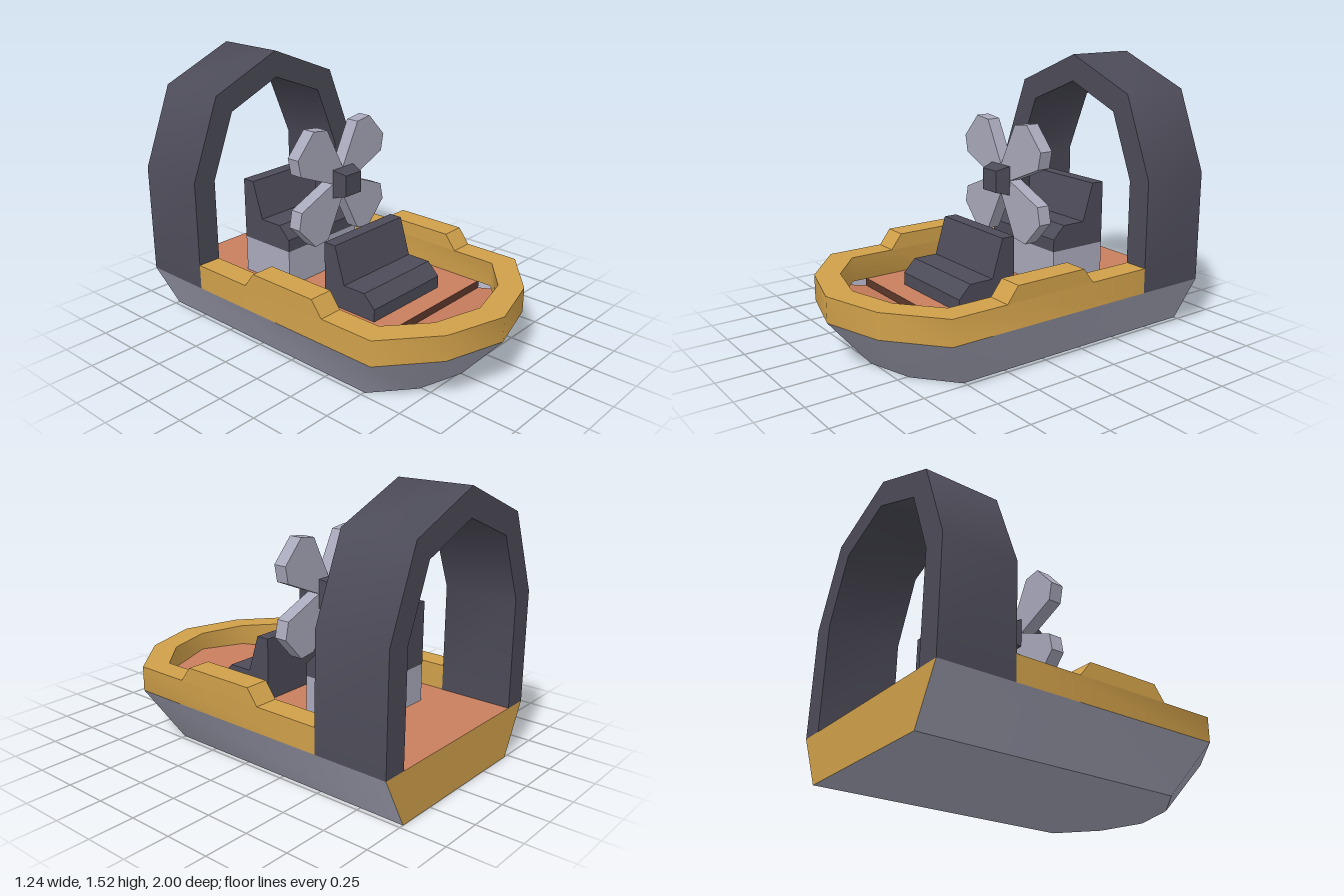
import * as THREE from 'three';
import { toCreasedNormals } from 'three/addons/utils/BufferGeometryUtils.js';

const material = (name, color, side = THREE.FrontSide) => {
  const m = new THREE.MeshStandardMaterial({ color, side });
  m.name = name;
  return m;
};

// Polygon that is symmetric about the vertical axis: give the +x half only
const mirrored = (half) => [
  ...half,
  ...half.filter(([x]) => x !== 0).reverse().map(([x, y]) => [-x, y]),
];

const extrude = (points, depth) => new THREE.ExtrudeGeometry(
  new THREE.Shape(points.map(([x, y]) => new THREE.Vector2(x, y))),
  { depth, bevelEnabled: false });

// Side profile given as [z, y], extruded along x from x0
const sideProfile = (points, x0, width) =>
  extrude(points, width).rotateY(-Math.PI / 2).translate(x0 + width, 0, 0);

const fromPositions = (pos) => {
  const g = new THREE.BufferGeometry();
  g.setAttribute('position', new THREE.Float32BufferAttribute(pos, 3));
  g.computeVertexNormals();
  return g;
};

// Fan of triangles over a convex loop of points
const fan = (pts) => {
  const pos = [];
  for (let i = 1; i < pts.length - 1; i++) pos.push(...pts[0], ...pts[i], ...pts[i + 1]);
  return fromPositions(pos);
};

export function createModel() {
  const group = new THREE.Group();
  const grey = material('light grey', 0xa9a9bc, THREE.DoubleSide);
  const dark = material('charcoal', 0x4c4b58);
  const yellow = material('ochre yellow', 0xd0a04a, THREE.DoubleSide);
  const orange = material('terracotta', 0xc97e5e, THREE.DoubleSide);
  const brown = material('dark brown', 0x5c382b, THREE.DoubleSide);

  const add = (name, geometry, mat, parent = group) => {
    const mesh = new THREE.Mesh(geometry, mat);
    mesh.name = name;
    parent.add(mesh);
    return mesh;
  };

  // Hull: deck outline tapering to a smaller flat bottom
  const deckY = 0.28;
  const outline = mirrored([[0.62, -1], [0.62, 0.665], [0.34, 0.9], [0, 1]]);
  const top = outline.map(([x, z]) => [x, deckY, z]);
  const bottom = outline.map(([x, z]) => [x * 0.765, 0, z === -1 ? -1 : z * 0.762]);
  const sides = [];
  for (let i = 0; i < top.length - 1; i++) {
    sides.push(...bottom[i], ...top[i], ...top[i + 1]);
    sides.push(...bottom[i], ...top[i + 1], ...bottom[i + 1]);
  }
  add('hullSides', toCreasedNormals(fromPositions(sides), 1), grey);
  add('hullBottom', fan(bottom), grey);
  const last = top.length - 1;
  add('transom', fan([bottom[last], top[last], top[0], bottom[0]]), yellow);

  // Gunwale around the bow, open at the back
  const rim = [
    [0.62, -0.585], [0.62, 0.665], [0.34, 0.9], [0, 1],
    [-0.34, 0.9], [-0.62, 0.665], [-0.62, -0.585],
    [-0.485, -0.585], [-0.485, 0.6], [-0.275, 0.78], [0, 0.855],
    [0.275, 0.78], [0.485, 0.6], [0.485, -0.585],
  ];
  const gunwale = extrude(rim, 0.14).rotateX(Math.PI / 2).translate(0, 0.42, 0);
  add('gunwale', toCreasedNormals(gunwale, 1), yellow);

  // Raised arm rests on both gunwales
  const rest = [[0.345, 0.42], [0.28, 0.505], [-0.145, 0.505], [-0.21, 0.42]];
  for (const [name, x0] of [['leftArmRest', 0.485], ['rightArmRest', -0.62]]) {
    add(name, sideProfile(rest, x0, 0.135), yellow);
  }

  // Floor, small step down, and bow deck rising forward
  add('floor', fan([
    [-0.49, deckY, -1], [-0.49, deckY, 0.51], [0.49, deckY, 0.51], [0.49, deckY, -1],
  ]), orange);
  const bowY = (z) => 0.235 + (z - 0.51) * 0.24;
  add('floorStep', fan([
    [-0.5, bowY(0.51), 0.51], [0.5, bowY(0.51), 0.51], [0.5, deckY, 0.51], [-0.5, deckY, 0.51],
  ]), brown);
  const bow = mirrored([[0.5, 0.51], [0.5, 0.61], [0.285, 0.795], [0, 0.87]]);
  add('bowDeck', fan(bow.map(([x, z]) => [x, bowY(z), z]).reverse()), orange);

  // Seats: same profile, the rear one raised on a base
  const seat = [
    [0.39, 0.28], [0.39, 0.35], [0.32, 0.42], [0.18, 0.42],
    [0.115, 0.63], [0.04, 0.63], [0.04, 0.28],
  ];
  add('frontSeat', sideProfile(seat, -0.273, 0.546), dark);
  add('rearSeat', sideProfile(seat, -0.273, 0.546), dark).position.set(0, 0.21, -0.623);
  add('rearSeatBase', new THREE.BoxGeometry(0.546, 0.21, 0.35), grey)
    .position.set(0, 0.385, -0.408);

  // Stern arch
  const arch = [
    [0.62, 0.28], [0.62, 0.9], [0.44, 1.345], [0, 1.525],
    [-0.44, 1.345], [-0.62, 0.9], [-0.62, 0.28],
    [-0.482, 0.28], [-0.482, 0.88], [-0.335, 1.24], [0, 1.375],
    [0.335, 1.24], [0.482, 0.88], [0.482, 0.28],
  ];
  add('sternArch', toCreasedNormals(extrude(arch, 0.415), 0.9), dark)
    .position.z = -1;

  // Propeller: square tapered hub with four blades
  const propeller = new THREE.Group();
  propeller.name = 'propeller';
  propeller.position.set(0, 0.875, -0.115);
  group.add(propeller);
  const r = Math.SQRT2;
  const hubProfile = [[0, -0.117], [0.06, -0.117], [0.08, -0.04], [0.08, 0.04], [0.06, 0.117], [0, 0.117]]
    .map(([w, h]) => new THREE.Vector2(w * r, h));
  const hub = new THREE.LatheGeometry(hubProfile, 4, Math.PI / 4).rotateX(Math.PI / 2);
  add('hub', toCreasedNormals(hub, 0.1), dark, propeller);
  const blade = [
    [0, 0], [0, 0.08], [0.12, 0.312], [0.22, 0.325],
    [0.34, 0.195], [0.32, 0.1], [0.08, 0],
  ];
  for (const sx of [1, -1]) {
    for (const sy of [1, -1]) {
      const points = blade.map(([x, y]) => [x * sx, y * sy]);
      add('blade', extrude(points, 0.076).translate(0, 0, -0.038), grey, propeller);
    }
  }
  return group;
}
